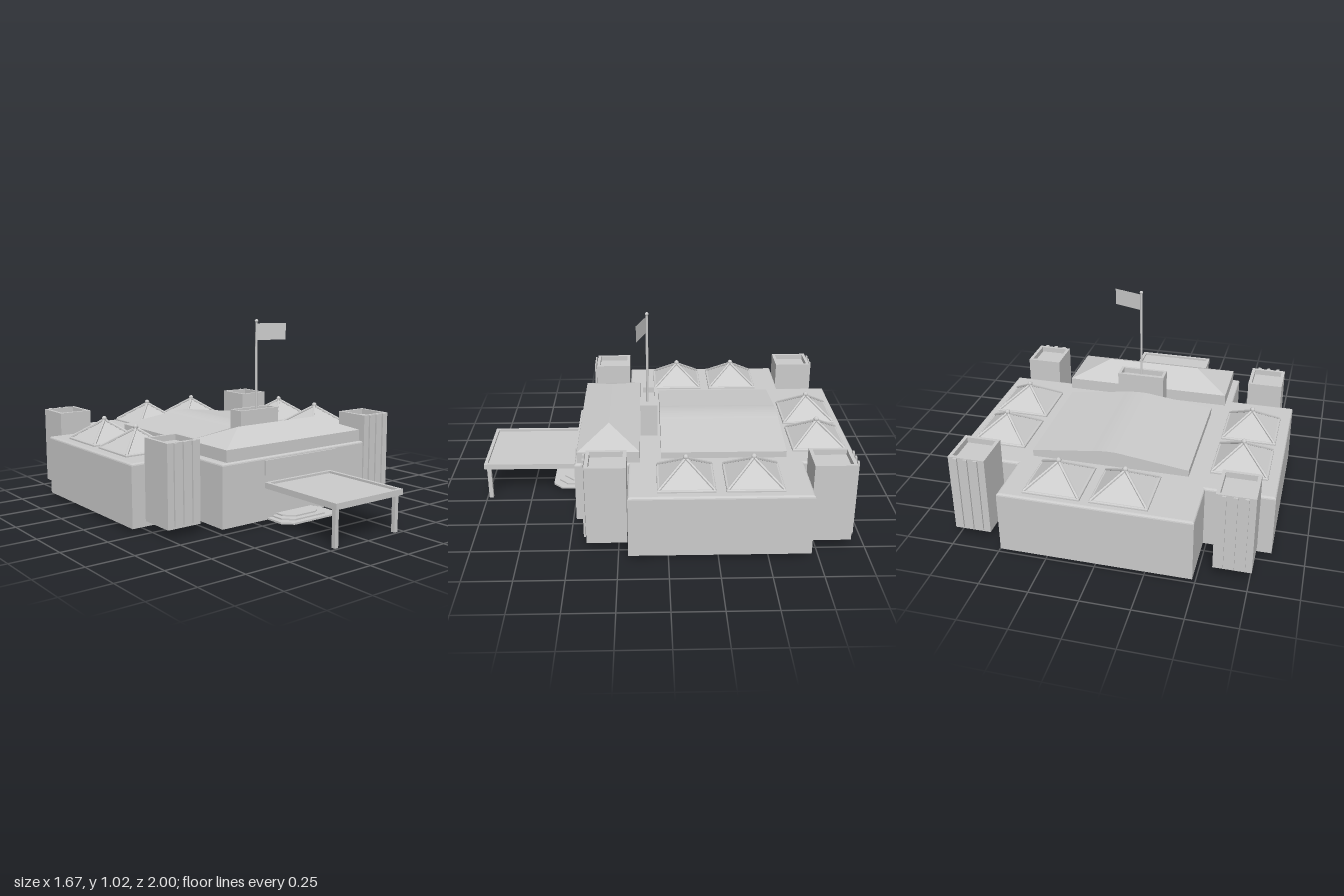
import * as THREE from 'three';

const mat = new THREE.MeshStandardMaterial({ color: 0xcccccc, flatShading: true, side: THREE.DoubleSide });

function add(parent, name, geo, x = 0, y = 0, z = 0) {
  const m = new THREE.Mesh(geo, mat);
  m.name = name;
  m.position.set(x, y, z);
  parent.add(m);
  return m;
}

// Box given by its limits on each axis
function block(parent, name, [x0, x1], [y0, y1], [z0, z1]) {
  return add(parent, name, new THREE.BoxGeometry(x1 - x0, y1 - y0, z1 - z0),
    (x0 + x1) / 2, (y0 + y1) / 2, (z0 + z1) / 2);
}

const rect = ([x0, x1], [z0, z1]) => [[x0, z1], [x1, z1], [x1, z0], [x0, z0]];
const outline = pts => pts.map(([x, z]) => new THREE.Vector2(x, -z));

// Vertical extrusion of a floor plan of [x, z] points
function slab(pts, y0, y1, hole, bevel = 0) {
  const shape = new THREE.Shape(outline(pts));
  if (hole) shape.holes.push(new THREE.Path(outline(hole)));
  const geo = new THREE.ExtrudeGeometry(shape, {
    depth: y1 - y0 - 2 * bevel, bevelEnabled: bevel > 0, bevelSize: bevel,
    bevelThickness: bevel, bevelOffset: -bevel, bevelSegments: 3,
  });
  return geo.rotateX(-Math.PI / 2).translate(0, y0 + bevel, 0);
}

// Drops every triangle lying at or below a height, leaving an open shell
function openBelow(geo, floor) {
  const src = geo.toNonIndexed().attributes.position;
  const out = [];
  for (let i = 0; i < src.count; i += 3) {
    const tri = [0, 1, 2].map(k => [src.getX(i + k), Math.max(src.getY(i + k), floor), src.getZ(i + k)]);
    if (tri.some(p => p[1] > floor + 1e-4)) out.push(...tri.flat());
  }
  const res = new THREE.BufferGeometry();
  res.setAttribute('position', new THREE.Float32BufferAttribute(out, 3));
  res.computeVertexNormals();
  return res;
}

// Skin through four-cornered rings, each { y, pts }
function loft(rings) {
  const pos = [];
  for (let r = 0; r + 1 < rings.length; r++) {
    for (let i = 0; i < 4; i++) {
      const at = (ring, k) => [ring.pts[k % 4][0], ring.y, ring.pts[k % 4][1]];
      const a = at(rings[r], i), b = at(rings[r], i + 1);
      const c = at(rings[r + 1], i + 1), d = at(rings[r + 1], i);
      pos.push(...a, ...b, ...c, ...a, ...c, ...d);
    }
  }
  const geo = new THREE.BufferGeometry();
  geo.setAttribute('position', new THREE.Float32BufferAttribute(pos, 3));
  geo.computeVertexNormals();
  return geo;
}

// Hollow-topped box: walls, raised rim and sunken lid
function rimmedBox(parent, name, xs, [y0, y1], zs, rim, depth) {
  const g = new THREE.Group();
  g.name = name;
  const plan = rect(xs, zs);
  const inner = rect([xs[0] + rim, xs[1] - rim], [zs[0] + rim, zs[1] - rim]);
  add(g, 'walls', loft([{ y: y0, pts: plan }, { y: y1 - depth, pts: plan }]));
  add(g, 'rim', slab(plan, y1 - depth, y1, inner));
  add(g, 'lid', new THREE.ShapeGeometry(new THREE.Shape(outline(plan))).rotateX(-Math.PI / 2), 0, y1 - depth, 0);
  parent.add(g);
  return g;
}

// Straight round bar between two points
function bar(parent, name, a, b, r) {
  const path = new THREE.LineCurve3(new THREE.Vector3(...a), new THREE.Vector3(...b));
  return add(parent, name, new THREE.TubeGeometry(path, 1, r, 6));
}

// Pyramid skylight with edge bars and a finial
function skylight(parent, cx, cz) {
  const g = new THREE.Group();
  g.name = 'skylight';
  const h = 0.145, pts = rect([-h, h], [-h, h]);
  add(g, 'curb', slab(pts, 0.34, 0.362, null, 0.006));
  const glass = rect([-h + 0.008, h - 0.008], [-h + 0.008, h - 0.008]);
  add(g, 'pyramid', loft([{ y: 0.36, pts: glass }, { y: 0.462, pts: [[0, 0], [0, 0], [0, 0], [0, 0]] }]));
  for (const [x, z] of glass) bar(g, 'ridgeBar', [x, 0.362, z], [0, 0.466, 0], 0.008);
  add(g, 'finial', new THREE.SphereGeometry(0.014, 10, 8), 0, 0.472, 0);
  g.position.set(cx, 0, cz);
  parent.add(g);
}

export function createModel() {
  const model = new THREE.Group();
  model.name = 'building';

  // Cross-shaped hall, open underneath
  const w = 0.833, n = 0.487;
  const plan = [[-n, 0.48], [n, 0.48], [n, 0.2], [w, 0.2], [w, -0.715], [n, -0.715],
    [n, -1], [-n, -1], [-n, -0.715], [-w, -0.715], [-w, 0.2], [-n, 0.2]];
  add(model, 'hall', openBelow(slab(plan, 0, 0.35, null, 0.012), 0.02));

  // Corner towers with ribs on their outer faces
  for (const s of [-1, 1]) {
    for (const [z0, z1, face, dir] of [[0.205, 0.41, 0.41, 1], [-0.925, -0.715, -0.925, -1]]) {
      const cx = s * 0.665;
      const tower = rimmedBox(model, 'tower', [cx - 0.095, cx + 0.095], [0.05, 0.475], [z0, z1], 0.018, 0.03);
      for (const dx of [-0.053, 0, 0.053]) {
        block(tower, 'rib', [cx + dx - 0.01, cx + dx + 0.01], [0.065, 0.475],
          [face - 0.005, face + 0.005].map(z => z + dir * 0.01));
      }
    }
  }

  // Skylights on both wings and the rear
  for (const z of [-0.43, -0.09]) {
    skylight(model, -0.633, z);
    skylight(model, 0.645, z);
  }
  for (const x of [-0.115, 0.222]) skylight(model, x, -0.82);

  // Low central roof with a softened ridge
  const profile = new THREE.Shape();
  profile.moveTo(-0.41, 0.34);
  profile.lineTo(0.41, 0.34);
  profile.lineTo(0.41, 0.385);
  profile.lineTo(0.09, 0.426);
  profile.quadraticCurveTo(0, 0.442, -0.09, 0.426);
  profile.lineTo(-0.41, 0.385);
  add(model, 'centralRoof',
    new THREE.ExtrudeGeometry(profile, { depth: 0.66, bevelEnabled: false, curveSegments: 8 }), 0.02, 0, -0.632);

  // Hipped roof over the entrance
  const eaves = rect([-0.45, 0.472], [0.14, 0.465]);
  add(model, 'entranceRoof', loft([
    { y: 0.345, pts: eaves },
    { y: 0.413, pts: eaves },
    { y: 0.487, pts: rect([-0.255, 0.275], [0.305, 0.305]) },
  ]));

  // Flag on its hollow plinth
  rimmedBox(model, 'flagPlinth', [-0.107, 0.157], [0.35, 0.532], [0.043, 0.137], 0.015, 0.03);
  add(model, 'flagpole', new THREE.CylinderGeometry(0.007, 0.007, 0.67, 10), 0.033, 0.68, 0.097);
  add(model, 'poleBall', new THREE.SphereGeometry(0.01, 10, 8), 0.033, 1.015, 0.097);
  const flag = add(model, 'flag', new THREE.PlaneGeometry(0.17, 0.092), 0.115, 0.956, 0.127);
  flag.rotation.y = -Math.atan2(0.055, 0.16);

  // Sign panel above the door
  block(model, 'signPanel', [-0.22, 0.275], [0.257, 0.335], [0.47, 0.49]);

  // Canopy on two posts
  rimmedBox(model, 'canopy', [-0.218, 0.237], [0.19, 0.22], [0.48, 1], 0.018, 0.012);
  block(model, 'canopySoffit', [-0.208, 0.225], [0.185, 0.2], [0.48, 0.99]);
  for (const x of [-0.202, 0.207]) block(model, 'canopyPost', [x - 0.011, x + 0.011], [0, 0.19], [0.967, 0.989]);

  // Entrance steps with clipped corners
  [[0.18, 0.635, 0.02, 0.03], [0.15, 0.605, 0.03, 0.038], [0.12, 0.575, 0.038, 0.046]].forEach(([h, z, y0, y1]) => {
    const c = 0.05, x = -0.018;
    add(model, 'step', slab([[x - h, 0.48], [x - h, z - c], [x - h + c, z], [x + h - c, z],
      [x + h, z - c], [x + h, 0.48]], y0, y1));
  });

  return model;
}
